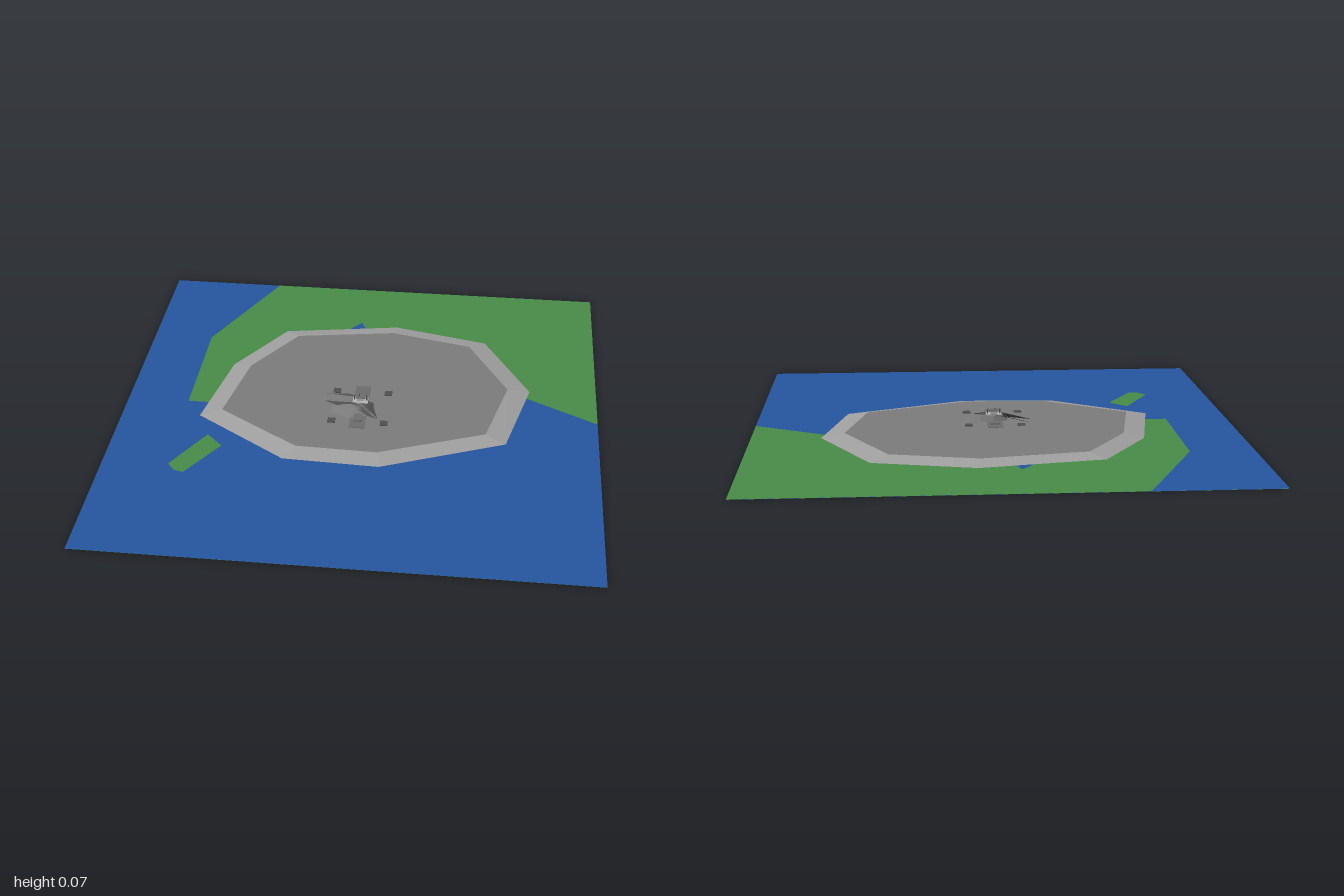
import * as THREE from 'three';

const mat = (color) => new THREE.MeshStandardMaterial({ color, flatShading: true, side: THREE.DoubleSide });
const BLUE = mat(0x2656a0), GREEN = mat(0x488c48), FLOOR = mat(0x7c7c7c), RIM = mat(0xa0a0a0);
const DARK = mat(0x505050), MID = mat(0x6c6c6c), LIGHT = mat(0xb4b4b4);

export function createModel() {
  const model = new THREE.Group();
  const add = (name, geometry, material, x = 0, y = 0, z = 0, parent = model) => {
    const mesh = new THREE.Mesh(geometry, material);
    mesh.name = name;
    mesh.position.set(x, y, z);
    parent.add(mesh);
    return mesh;
  };
  // flat outline given as [x, z] points
  const flat = (points) => new THREE.ShapeGeometry(
    new THREE.Shape(points.map(([x, z]) => new THREE.Vector2(x, -z)))).rotateX(-Math.PI / 2);
  const rect = (w, d) => new THREE.PlaneGeometry(w, d).rotateX(-Math.PI / 2);
  // thin panel through 3D corner points, fanned from the first
  const panel = (points) => {
    const g = new THREE.BufferGeometry();
    g.setAttribute('position', new THREE.Float32BufferAttribute(points.flat(), 3));
    const index = [];
    for (let i = 1; i < points.length - 1; i++) index.push(0, i, i + 1);
    g.setIndex(index);
    g.computeVertexNormals();
    return g;
  };

  // ground layers, almost coplanar
  add('foundation', rect(1, 1), MID, 0, 0, 0);
  add('groundSheet', rect(2, 2), GREEN, 0, 0.0004, 0);
  add('water', rect(2, 2), BLUE, 0, 0.0008, 0);
  add('mainland', flat([[-0.5, -1], [-0.74, -0.5], [-0.74, 0.01], [-0.6, 0.01], [-0.5, -0.2],
    [-0.13, -0.62], [-0.065, -0.7], [-0.03, -0.62], [0.4, -0.3], [0.7, -0.16], [1, 0], [1, -1]]),
  GREEN, 0, 0.0013, 0);
  add('islet', flat([[-0.61, 0.24], [-0.54, 0.31], [-0.66, 0.5], [-0.7, 0.49], [-0.73, 0.45]]),
    GREEN, 0, 0.0013, 0);

  // nine-sided plateau with a sloping rim
  const outer = [[-0.4, -0.59], [-0.595, -0.29], [-0.67, 0.11], [-0.28, 0.37], [0.115, 0.385],
    [0.62, 0.18], [0.715, -0.21], [0.51, -0.58], [0.1, -0.675]];
  const inner = [[-0.34, -0.53], [-0.515, -0.265], [-0.58, 0.08], [-0.235, 0.3], [0.1, 0.31],
    [0.535, 0.14], [0.62, -0.195], [0.44, -0.52], [0.09, -0.6]];
  const top = 0.017, foot = 0.0015;
  const plateau = new THREE.Group();
  plateau.name = 'plateau';
  model.add(plateau);
  add('plateauFloor', flat(inner), FLOOR, 0, top, 0, plateau);
  outer.forEach(([x, z], i) => {
    const j = (i + 1) % outer.length;
    add('rimSlope', panel([[x, foot, z], [outer[j][0], foot, outer[j][1]],
      [inner[j][0], top, inner[j][1]], [inner[i][0], top, inner[i][1]]]), RIM, 0, 0, 0, plateau);
  });

  // paved markings on the plateau
  add('landingStrip', new THREE.BoxGeometry(0.065, 0.002, 0.305), MID, 0, top + 0.001, 0);
  for (const s of [-1, 1]) {
    add('stripBlock', new THREE.BoxGeometry(0.035, 0.008, 0.05), MID, 0, top + 0.004, s * 0.085);
    for (const t of [-1, 1])
      add('cornerPad', new THREE.BoxGeometry(0.032, 0.004, 0.032), DARK, s * 0.11, top + 0.002, t * 0.11);
  }

  // small central structure with slanted panels
  const hub = new THREE.Group();
  hub.name = 'centralStructure';
  model.add(hub);
  add('base', new THREE.CylinderGeometry(0.03, 0.065, 0.022, 6), MID, 0, top + 0.011, 0, hub);
  add('platform', new THREE.BoxGeometry(0.065, 0.005, 0.045), LIGHT, 0, 0.042, -0.015, hub);
  add('cabin', new THREE.BoxGeometry(0.03, 0.014, 0.03), LIGHT, 0, 0.051, -0.02, hub);
  add('roof', new THREE.BoxGeometry(0.042, 0.004, 0.034), MID, 0, 0.06, -0.02, hub);
  for (const s of [-1, 1])
    add('post', new THREE.BoxGeometry(0.005, 0.022, 0.005), DARK, s * 0.026, 0.053, -0.015, hub);
  add('mast', new THREE.CylinderGeometry(0.003, 0.003, 0.008, 6), DARK, -0.005, 0.064, -0.02, hub);

  add('rearPanel', panel([[-0.16, 0.018, -0.085], [-0.05, 0.04, -0.06], [0.02, 0.046, -0.03], [-0.04, 0.038, -0.045]]), DARK, 0, 0, 0, hub);
  add('longPanel', panel([[-0.16, 0.019, -0.03], [-0.02, 0.045, 0.01], [0.08, 0.02, 0.085], [-0.03, 0.035, 0.025]]), DARK, 0, 0, 0, hub);
  add('sidePanel', panel([[0.0, 0.045, 0.0], [0.05, 0.036, -0.01], [0.08, 0.019, 0.08]]), DARK, 0, 0, 0, hub);
  add('apron', panel([[-0.01, 0.042, 0.0], [-0.125, 0.019, 0.01], [-0.12, 0.019, 0.05],
    [-0.04, 0.019, 0.09], [0.04, 0.021, 0.06]]), FLOOR, 0, 0, 0, hub);
  return model;
}
